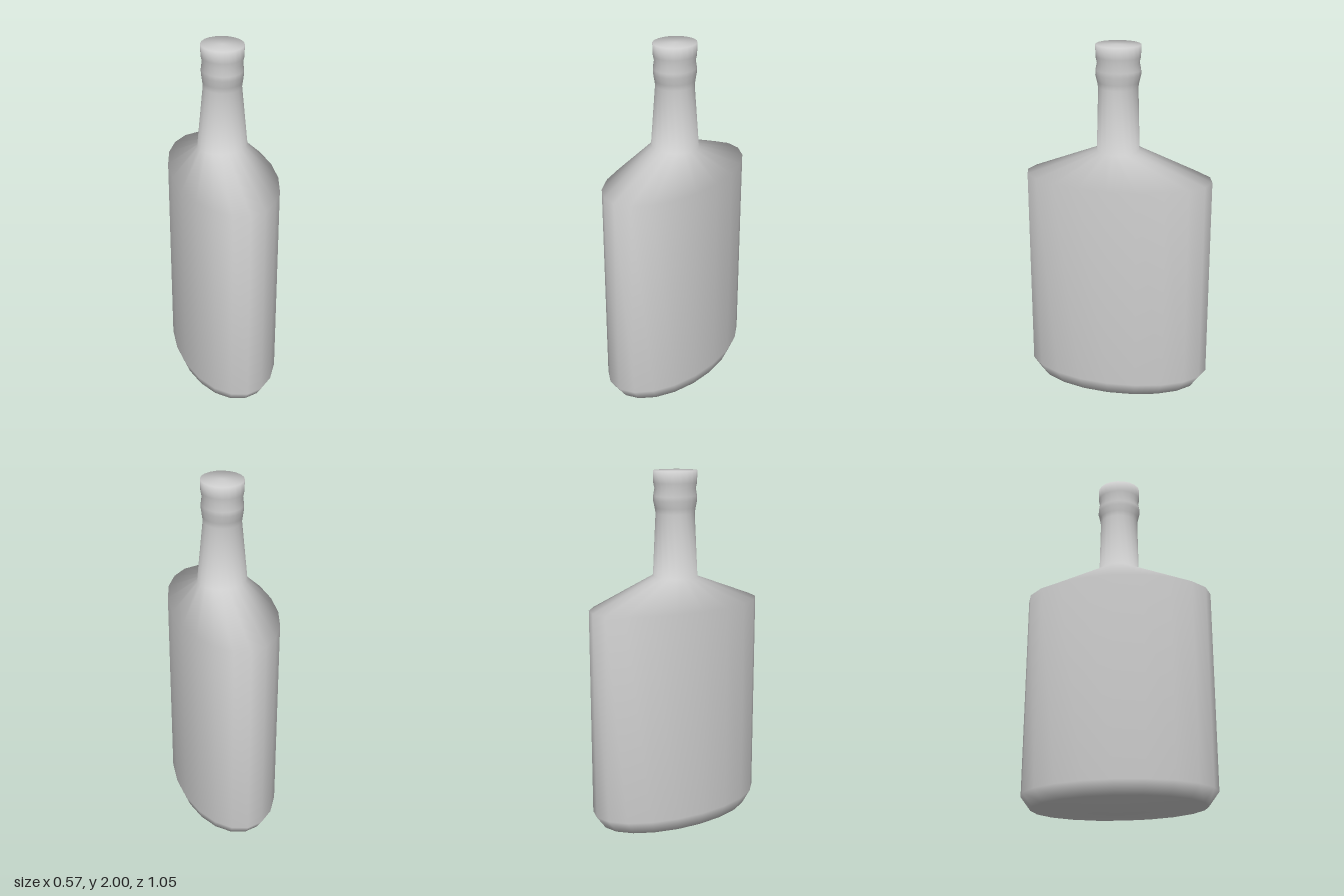
import * as THREE from 'three';
import { mergeVertices } from 'three/addons/utils/BufferGeometryUtils.js';

// Cross-sections from base to mouth: height, half width (x), half depth (z)
const SECTIONS = [
  [0, 0, 0],            // shallow pointed base
  [0.035, 0.255, 0.47],
  [0.11, 0.283, 0.525], // flask body
  [1.27, 0.283, 0.525],
  [1.425, 0.139, 0.116], // shoulder to neck
  [1.77, 0.103, 0.109],
  [1.80, 0.107, 0.114],  // ring below the lip
  [1.84, 0.112, 0.124],
  [1.865, 0.112, 0.123],
  [1.905, 0.107, 0.115],
  [1.935, 0.113, 0.122], // lip
  [2, 0.115, 0.123],
  [2, 0, 0],             // closed top
];

// Lathe whose rings are stretched into ellipses
function ellipticalLathe(sections, sides) {
  const profile = sections.map(([y, rx]) => new THREE.Vector2(rx, y));
  const lathe = new THREE.LatheGeometry(profile, sides);
  const pos = lathe.attributes.position;
  for (let i = 0; i < pos.count; i++) {
    const [, rx, rz] = sections[i % sections.length];
    if (rx > 0) pos.setZ(i, pos.getZ(i) * rz / rx);
  }
  // Weld the seam and poles so shading is smooth all round
  lathe.deleteAttribute('uv');
  lathe.deleteAttribute('normal');
  const geometry = mergeVertices(lathe, 1e-5);
  geometry.computeVertexNormals();
  return geometry;
}

export function createModel() {
  const group = new THREE.Group();
  group.name = 'flaskBottle';
  const material = new THREE.MeshStandardMaterial({ color: 0xcccccc });
  const bottle = new THREE.Mesh(ellipticalLathe(SECTIONS, 20), material);
  bottle.name = 'bottle';
  group.add(bottle);
  return group;
}
